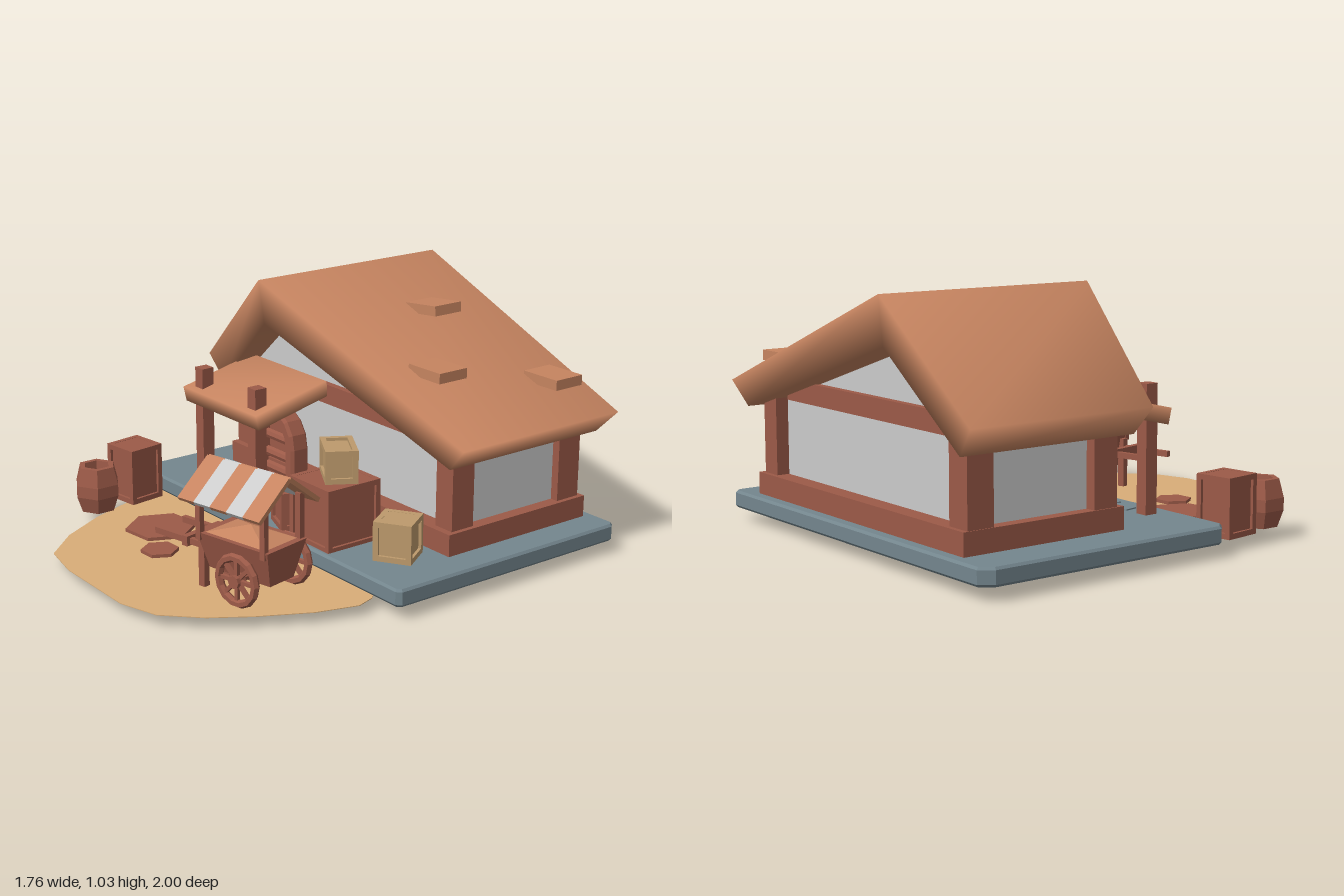
import * as THREE from 'three';
import { mergeVertices } from 'three/addons/utils/BufferGeometryUtils.js';

const WOOD = 0x9c5a48, ROOF = 0xc68460, STONE = 0x74868e, SAND = 0xd9ad78, TAN = 0xbd9a6c, GREY = 0xcccccc;

function add(parent, name, geo, color, x = 0, y = 0, z = 0, opts = {}) {
  const mesh = new THREE.Mesh(geo, new THREE.MeshStandardMaterial({ color, flatShading: true, ...opts }));
  mesh.name = name;
  mesh.position.set(x, y, z);
  parent.add(mesh);
  return mesh;
}

// Box given by its extents
function span(parent, name, color, x0, x1, y0, y1, z0, z1) {
  return add(parent, name, new THREE.BoxGeometry(x1 - x0, y1 - y0, z1 - z0), color,
    (x0 + x1) / 2, (y0 + y1) / 2, (z0 + z1) / 2);
}

function group(parent, name, x = 0, y = 0, z = 0, turn = 0) {
  const g = new THREE.Group();
  g.name = name;
  g.position.set(x, y, z);
  g.rotation.y = turn;
  parent.add(g);
  return g;
}

const shapeOf = pts => new THREE.Shape(pts.map(p => new THREE.Vector2(...p)));

// Shared corners with averaged normals, for soft shading
function soften(geo) {
  geo.deleteAttribute('normal');
  geo.deleteAttribute('uv');
  const merged = mergeVertices(geo);
  merged.computeVertexNormals();
  return merged;
}

// Crate: recessed core with a beam along each of the 12 edges
function crate(parent, name, color, x, y, z, w, h, d, turn, topRecess) {
  const g = group(parent, name, x, y, z, turn), t = 0.022;
  add(g, 'crateCore', new THREE.BoxGeometry(w - 0.024, h - 2 * topRecess, d - 0.024), color, 0, h / 2, 0);
  for (const a of [-1, 1]) for (const b of [-1, 1]) {
    const px = (w - t) / 2, py = (h - t) / 2, pz = (d - t) / 2;
    add(g, 'crateEdge', new THREE.BoxGeometry(w, t, t), color, 0, h / 2 + a * py, b * pz);
    add(g, 'crateEdge', new THREE.BoxGeometry(t, h, t), color, a * px, h / 2, b * pz);
    add(g, 'crateEdge', new THREE.BoxGeometry(t, t, d), color, a * px, h / 2 + b * py, 0);
  }
}

// Thick gable roof, longer along the ridge than along the eaves
function roofGeometry() {
  const outline = [ // x, y, front z, back z
    [-0.82, 0.6, -0.115, -0.94], [-0.35, 1.03, -0.045, -1], [0.855, 0.59, -0.11, -0.94],
    [0.76, 0.49, -0.13, -0.92], [-0.345, 0.84, -0.07, -0.98], [-0.73, 0.49, -0.13, -0.92]];
  const f = outline.map(([x, y, z]) => [x, y, z]), b = outline.map(([x, y, , z]) => [x, y, z]);
  const pos = [];
  const quad = (p, q, r, s) => pos.push(...p, ...q, ...s, ...q, ...r, ...s);
  for (let i = 0; i < 6; i++) {
    const j = (i + 1) % 6;
    quad(f[i], f[j], b[j], b[i]);
  }
  for (const [i, j, k, l] of [[0, 5, 4, 1], [1, 4, 3, 2]]) {
    quad(f[i], f[j], f[k], f[l]);
    quad(b[l], b[k], b[j], b[i]);
  }
  const geo = new THREE.BufferGeometry();
  geo.setAttribute('position', new THREE.Float32BufferAttribute(pos, 3));
  return soften(geo);
}

function buildHouse(root) {
  const house = group(root, 'house');
  // Stone base with cut corners
  const c = 0.04, X = 0.882;
  const slab = new THREE.ExtrudeGeometry(shapeOf([[-X + c, -0.218], [X - c / 2, -0.218], [X, -0.2], [X, 0.91], [X - c / 2, 0.932],
    [-X + c, 0.932], [-X, 0.88], [-X, -0.18]]), { depth: 0.052, bevelThickness: 0.01, bevelSize: 0.008, bevelOffset: -0.008, bevelSegments: 1 });
  slab.rotateX(-Math.PI / 2);
  add(house, 'stoneBase', slab, STONE, 0, 0.063, 0);

  // Plaster walls with gables
  const wall = new THREE.ExtrudeGeometry(shapeOf([[-0.65, 0.12], [0.69, 0.12], [0.69, 0.56], [-0.345, 0.88], [-0.65, 0.62]]),
    { depth: 0.58, bevelEnabled: false });
  add(house, 'walls', wall, GREY, 0, 0, -0.81);

  // Timber frame
  span(house, 'sillBeam', WOOD, -0.7, 0.745, 0.125, 0.215, -0.885, -0.15);
  for (const [z0, z1] of [[-0.29, -0.18], [-0.865, -0.75]]) {
    span(house, 'cornerPost', WOOD, -0.695, -0.585, 0.2, 0.58, z0, z1);
    span(house, 'cornerPost', WOOD, 0.63, 0.725, 0.2, 0.56, z0, z1);
  }
  for (const [z0, z1] of [[-0.26, -0.2], [-0.84, -0.78]])
    span(house, 'crossBeam', WOOD, -0.66, 0.58, 0.53, 0.613, z0, z1);

  add(house, 'roof', roofGeometry(), ROOF, 0, 0, 0, { flatShading: false });
  for (const [x, y, z, tilt] of [[0.06, 0.906, -0.65, 0.1], [0.44, 0.77, -0.342, 0], [0.62, 0.702, -0.802, 0]])
    add(house, 'looseShingle', new THREE.BoxGeometry(0.185, 0.042, 0.142), ROOF, x, y, z).rotation.z = tilt;

  // Arched door
  const door = group(house, 'door', -0.345, 0.12, -0.18);
  const arch = (r, h) => {
    const pts = [[r, 0]];
    for (let i = 0; i <= 8; i++) pts.push([r * Math.cos(i * Math.PI / 8), h + r * Math.sin(i * Math.PI / 8)]);
    return [...pts, [-r, 0]];
  };
  const frame = shapeOf(arch(0.153, 0.195));
  frame.holes.push(shapeOf(arch(0.12, 0.195)));
  add(door, 'doorFrame', new THREE.ExtrudeGeometry(frame, { depth: 0.066, bevelThickness: 0.012, bevelSize: 0.012, bevelSegments: 1 }), WOOD, 0, 0, 0.012);
  add(door, 'doorPanel', new THREE.ExtrudeGeometry(shapeOf(arch(0.125, 0.195)), { depth: 0.02, bevelEnabled: false }), WOOD);
  for (const y of [0.06, 0.125, 0.205])
    add(door, 'doorPlank', new THREE.CylinderGeometry(0.022, 0.022, 0.21, 8).rotateZ(Math.PI / 2), WOOD, 0, y, 0.03);
  for (const x of [-0.098, 0.098])
    add(door, 'doorStile', new THREE.BoxGeometry(0.025, 0.24, 0.05), WOOD, x, 0.12, 0.04);

  // Porch
  for (const x of [-0.534, -0.155])
    span(house, 'porchPost', WOOD, x - 0.027, x + 0.027, 0, 0.64, 0.08, 0.136);
  const porch = soften(new THREE.BoxGeometry(0.525, 0.066, 0.37));
  add(house, 'porchRoof', porch, ROOF, -0.347, 0.556, -0.022, { flatShading: false }).rotation.x = 0.23;
  for (const [x, z, turn] of [[-0.4, 0.1, 0.2], [-0.27, 0.14, -0.15], [-0.33, 0.02, 0.1]])
    add(house, 'pavingTile', new THREE.BoxGeometry(0.085, 0.008, 0.06), STONE, x, 0.126, z).rotation.y = turn;
}

function buildCart(root) {
  const cart = group(root, 'marketCart', 0.4, 0, 0.55, 0.21);
  // Tapered tray: the lower corners are drawn in
  const tray = new THREE.BoxGeometry(0.36, 0.15, 0.22), p = tray.attributes.position;
  for (let i = 0; i < p.count; i++)
    if (p.getY(i) < 0) p.setXYZ(i, p.getX(i) * 0.85, p.getY(i), p.getZ(i) * 0.6);
  add(cart, 'tray', tray, WOOD, 0.01, 0.205, 0);
  const goods = new THREE.ConeGeometry(0.707, 1, 4).rotateY(Math.PI / 4).scale(0.32, 0.045, 0.19);
  add(cart, 'goods', goods, ROOF, 0.01, 0.3, 0);

  for (const s of [-1, 1]) {
    // Wheel with rim, hub and spokes
    const wheel = group(cart, 'wheel', 0.075, 0.159, s * 0.15);
    add(wheel, 'rim', new THREE.TorusGeometry(0.091, 0.017, 6, 14), WOOD);
    add(wheel, 'hub', new THREE.CylinderGeometry(0.026, 0.026, 0.045, 8).rotateX(Math.PI / 2), WOOD);
    for (let i = 0; i < 4; i++)
      add(wheel, 'spokes', new THREE.BoxGeometry(0.175, 0.015, 0.015), WOOD).rotation.z = i * Math.PI / 4;

    // Shafts, legs, canopy posts
    span(cart, 'shaft', WOOD, -0.415, -0.1, 0.205, 0.23, s * 0.075 - 0.01, s * 0.075 + 0.01);
    span(cart, 'leg', WOOD, -0.185, -0.155, 0.048, 0.26, s * 0.07 - 0.014, s * 0.07 + 0.014);
    for (const x of [-0.16, 0.165])
      span(cart, 'canopyPost', WOOD, x - 0.012, x + 0.012, 0.25, 0.46, s * 0.1 - 0.012, s * 0.1 + 0.012);

    // Striped canopy
    for (let i = 0; i < 5; i++)
      add(cart, 'canopyStripe', new THREE.BoxGeometry(0.082, 0.018, 0.207), i % 2 ? GREY : ROOF,
        (i - 2) * 0.082, 0.482, s * 0.083).rotation.x = s * 0.645;
  }
  add(cart, 'axle', new THREE.CylinderGeometry(0.014, 0.014, 0.3, 6).rotateX(Math.PI / 2), WOOD, 0.075, 0.159, 0);
  span(cart, 'crossBar', WOOD, -0.255, -0.228, 0.2, 0.24, -0.1, 0.1);
}

export function createModel() {
  const root = new THREE.Group();
  root.name = 'villageShop';

  // Sandy yard
  const yard = [[0.73, 0.22], [0.755, 0.3], [0.705, 0.47], [0.6, 0.67], [0.5, 0.82], [0.37, 0.95], [0.2, 1], [-0.2, 0.99], [-0.385, 0.95],
    [-0.52, 0.8], [-0.63, 0.6], [-0.76, 0.25], [-0.69, 0.1], [-0.4, -0.1], [-0.1, -0.2], [0.39, -0.17]];
  const ground = new THREE.ExtrudeGeometry(shapeOf(yard.map(([x, z]) => [x, -z])), { depth: 0.003, bevelEnabled: false });
  add(root, 'yard', ground.rotateX(-Math.PI / 2), SAND, 0, 0.044, 0);

  buildHouse(root);
  buildCart(root);

  // Crates and barrel
  crate(root, 'yardCrate', WOOD, -0.742, 0.05, 0.337, 0.165, 0.24, 0.165, 0.13, 0.001);
  crate(root, 'largeCrate', WOOD, 0.312, 0.12, 0.07, 0.25, 0.26, 0.26, 0, 0.001);
  crate(root, 'topCrate', TAN, 0.317, 0.38, 0.055, 0.19, 0.135, 0.13, -0.54, 0.012);
  crate(root, 'smallCrate', WOOD, 0.095, 0.125, 0.105, 0.155, 0.16, 0.155, -0.36, 0.001);
  crate(root, 'cornerCrate', TAN, 0.617, 0.125, 0, 0.155, 0.16, 0.155, 0.56, 0.001);
  const staves = [[0, 0], [0.075, 0], [0.1, 0.07], [0.1, 0.12], [0.08, 0.195], [0.056, 0.195], [0.052, 0.15], [0, 0.15]];
  add(root, 'barrel', new THREE.LatheGeometry(staves.map(p => new THREE.Vector2(...p)), 6), WOOD, -0.712, 0.05, 0.545);

  // Flat rocks in the yard
  for (const [x, z, r, turn] of [[-0.352, 0.46, 0.148, 0.63], [-0.143, 0.602, 0.077, 0.57]])
    add(root, 'flatRock', new THREE.CylinderGeometry(r, r, 0.014, 6), WOOD, x, 0.0545, z).rotation.y = turn;
  return root;
}
